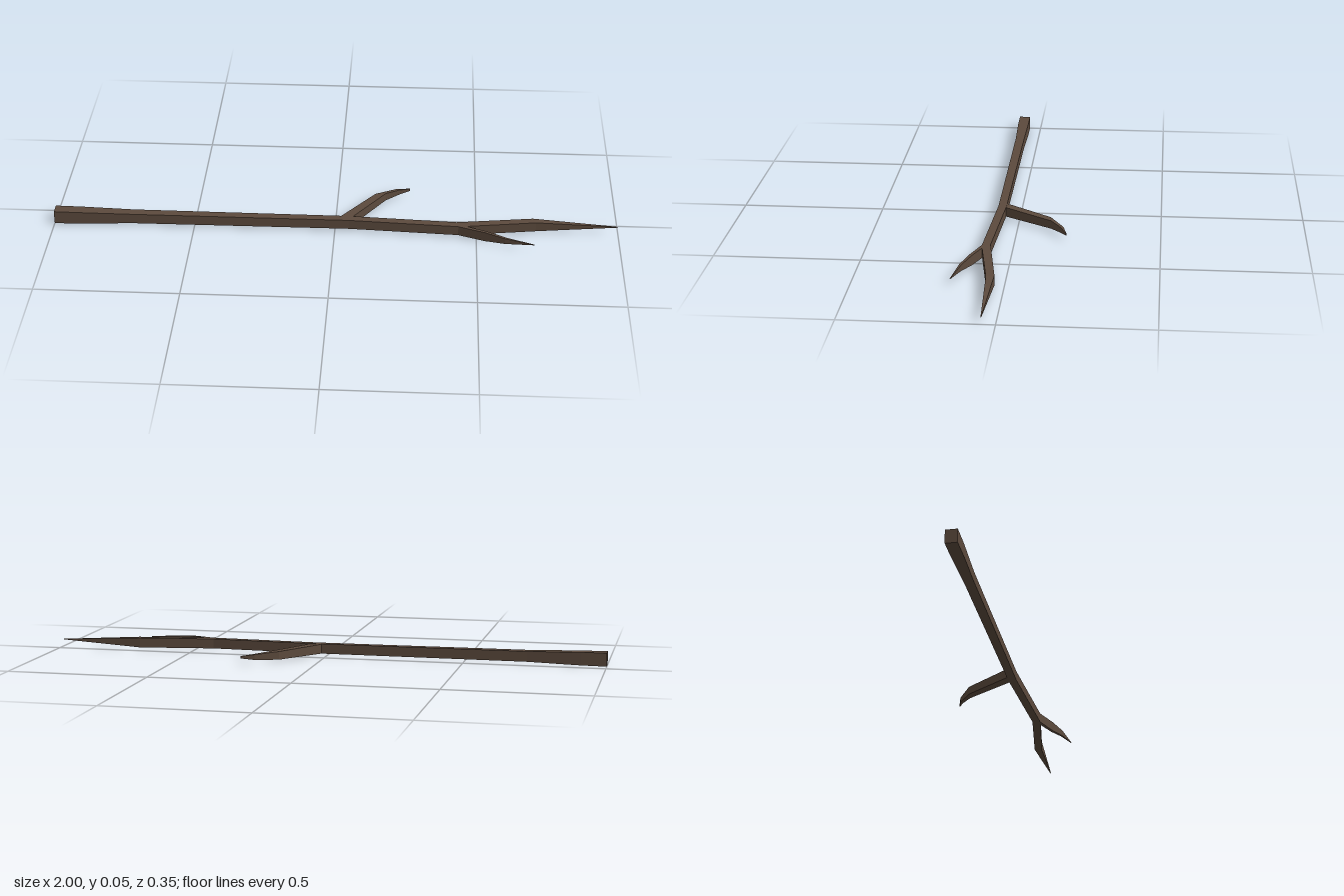
import * as THREE from 'three';

// Four-sided limb lofted through sections: [leftX, leftZ, rightX, rightZ, bottomY, topY]
function limb(name, sections, material) {
  const rings = sections.map(([ax, az, bx, bz, lo, hi]) => [
    [ax, lo, az], [bx, lo, bz], [bx, hi, bz], [ax, hi, az],
  ]);
  const pos = [];
  const quad = (a, b, c, d) => pos.push(...a, ...b, ...c, ...a, ...c, ...d);
  for (let i = 0; i < rings.length - 1; i++) {
    const r = rings[i], s = rings[i + 1];
    for (let k = 0; k < 4; k++) {
      const n = (k + 1) % 4;
      quad(r[k], s[k], s[n], r[n]);
    }
  }
  quad(...rings[0]);
  quad(...[...rings[rings.length - 1]].reverse());
  const geometry = new THREE.BufferGeometry();
  geometry.setAttribute('position', new THREE.Float32BufferAttribute(pos, 3));
  geometry.computeVertexNormals();
  const mesh = new THREE.Mesh(geometry, material);
  mesh.name = name;
  return mesh;
}

export function createModel() {
  const group = new THREE.Group();
  group.name = 'branch';
  const bark = new THREE.MeshStandardMaterial({ color: 0x5c4a3d });
  bark.name = 'bark brown';

  // Main stem, thick at the cut end and pointed at the tip
  group.add(limb('stem', [
    [-1, 0.043, -1, 0.084, 0, 0.048],
    [-0.91, 0.043, -0.91, 0.084, 0.001, 0.047],
    [-0.72, 0.046, -0.72, 0.079, 0.006, 0.043],
    [0.05, 0.048, 0.05, 0.077, 0.007, 0.042],
    [0.43, 0.069, 0.44, 0.098, 0.007, 0.042],
    [0.7, 0.031, 0.71, 0.058, 0.007, 0.042],
    [1, 0.044, 1, 0.046, 0.024, 0.026],
  ], bark));

  // Larger twig bending towards the back
  group.add(limb('backTwig', [
    [0.015, 0.055, 0.055, 0.06, 0.007, 0.041],
    [0.137, -0.115, 0.174, -0.119, 0.008, 0.037],
    [0.213, -0.163, 0.223, -0.156, 0.012, 0.031],
    [0.26, -0.176, 0.262, -0.174, 0.018, 0.026],
  ], bark));

  // Thin twig bending towards the front
  group.add(limb('frontTwig', [
    [0.44, 0.085, 0.42, 0.092, 0.007, 0.042],
    [0.535, 0.122, 0.53, 0.132, 0.007, 0.042],
    [0.602, 0.149, 0.599, 0.157, 0.014, 0.035],
    [0.7, 0.174, 0.7, 0.176, 0.024, 0.026],
  ], bark));

  return group;
}
